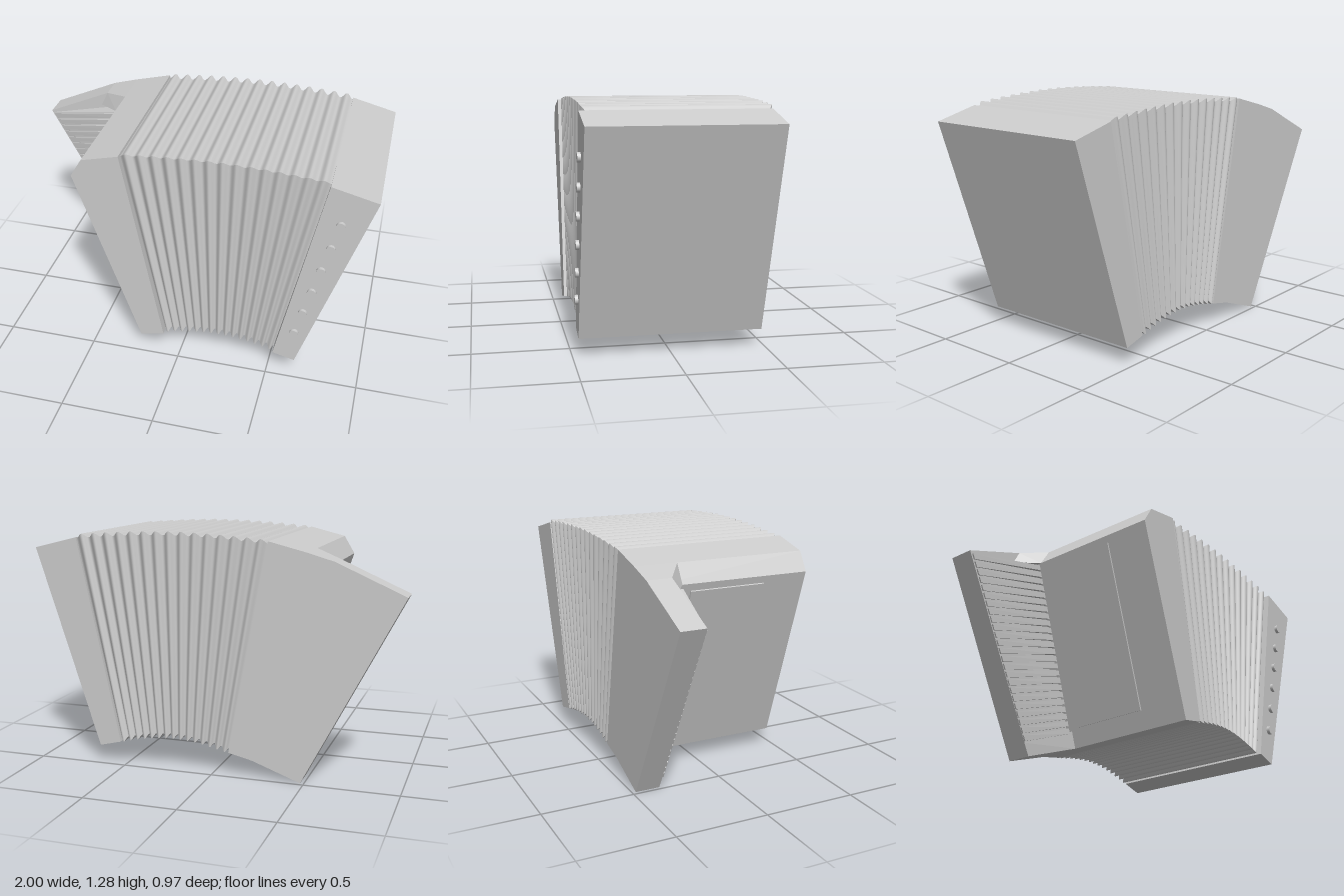
import * as THREE from 'three';
import { ConvexGeometry } from 'three/addons/geometries/ConvexGeometry.js';

const BACK = -0.48, FRONT = 0.47;
const lerp = THREE.MathUtils.lerp;
const mix = (a, b, t) => a.map((v, i) => lerp(v, b[i], t));

export function createModel() {
  const model = new THREE.Group();
  model.name = 'accordion';
  const grey = new THREE.MeshStandardMaterial({ color: 0xcccccc });
  grey.name = 'light grey';

  function add(name, geometry, parent = model) {
    const mesh = new THREE.Mesh(geometry, grey);
    mesh.name = name;
    parent.add(mesh);
    return mesh;
  }
  // Front outline given depth from z0 to z1
  function slab(points, z0, z1) {
    const shape = new THREE.Shape(points.map(p => new THREE.Vector2(...p)));
    const g = new THREE.ExtrudeGeometry(shape, { depth: z1 - z0, bevelEnabled: false });
    return g.translate(0, 0, z0);
  }
  const hull = points => new ConvexGeometry(points.map(p => new THREE.Vector3(...p)));

  // Two end boxes
  add('trebleBox', slab([[-0.3, 1.25], [-0.5, 1.2], [-0.56, 1.1], [-0.22, 0.1], [-0.09, 0.13]], BACK, FRONT));
  add('bassBox', slab([[0.76, 1.24], [0.53, 0.13], [0.65, 0.1], [1, 1.18]], BACK, FRONT));

  // Bass buttons
  const buttons = new THREE.Group();
  buttons.name = 'bassButtons';
  model.add(buttons);
  for (let i = 0; i < 6; i++) {
    const b = add('bassButton', new THREE.CylinderGeometry(0.024, 0.024, 0.03, 20), buttons);
    b.rotation.x = Math.PI / 2;
    b.position.set(lerp(0.827, 0.639, i / 5), lerp(1.027, 0.3, i / 5), 0.472);
  }

  // Bellows: four rippled sides fanned between the boxes
  const FOLDS = 15, STEPS = FOLDS * 10;
  function ring(t) {
    const wave = 0.5 - 0.5 * Math.cos(t * FOLDS * Math.PI * 2);
    const arch = Math.sin(Math.PI * t);
    const xt = lerp(-0.3, 0.76, t), xb = lerp(-0.09, 0.53, t);
    const yt = 1.235 + 0.028 * arch + 0.022 * wave;
    const yb = 0.15 + 0.05 * arch - 0.022 * wave;
    const zf = 0.435 + 0.02 * wave, zb = -0.465 - 0.02 * wave;
    return [[xt, yt, zf], [xt, yt, zb], [xb, yb, zb], [xb, yb, zf]];
  }
  const bellows = new THREE.Group();
  bellows.name = 'bellows';
  model.add(bellows);
  ['bellowsTop', 'bellowsBack', 'bellowsBottom', 'bellowsFront'].forEach((name, side) => {
    const pos = [], index = [];
    for (let i = 0; i <= STEPS; i++) {
      const r = ring(i / STEPS);
      pos.push(...r[side], ...r[(side + 1) % 4]);
      if (i < STEPS) {
        const a = i * 2;
        index.push(a, a + 2, a + 1, a + 2, a + 3, a + 1);
      }
    }
    const g = new THREE.BufferGeometry();
    g.setAttribute('position', new THREE.Float32BufferAttribute(pos, 3));
    g.setIndex(index);
    g.computeVertexNormals();
    add(name, g, bellows);
  });

  // Keyboard: back plate, sloping bed, and a cheek at each end
  const keyboard = new THREE.Group();
  keyboard.name = 'keyboard';
  model.add(keyboard);
  const LOW = -0.345, HIGH = -0.25;
  add('keyboardPlate', slab([[-1, 1], [-0.48, 0.005], [-0.22, 0.1], [-0.56, 1.1], [-0.5, 1.2], [-0.64, 1.16]], BACK, LOW), keyboard);
  add('upperCheek', hull([
    [-0.64, 1.16, LOW], [-0.5, 1.2, LOW], [-0.5, 1.2, HIGH],
    [-0.56, 1.1, HIGH], [-0.56, 1.1, LOW], [-0.68, 1.08, LOW],
  ]), keyboard);
  add('lowerCheek', hull([
    [-0.48, 0.005, LOW], [-0.22, 0.1, LOW], [-0.22, 0.1, HIGH],
    [-0.25, 0.19, HIGH], [-0.25, 0.19, LOW], [-0.515, 0.07, LOW],
  ]), keyboard);
  const outerTop = [-0.985, 0.99], outerEnd = [-0.513, 0.07];
  const innerTop = [-0.57, 1.085], innerEnd = [-0.265, 0.165];
  add('keyBed', hull([
    [...outerTop, LOW], [...outerEnd, LOW], [...innerTop, LOW], [...innerEnd, LOW],
    [...innerTop, HIGH - 0.018], [...innerEnd, HIGH - 0.018],
  ]), keyboard);

  // Keys: narrow sloping bars with gaps between
  const KEYS = 24;
  for (let i = 0; i < KEYS; i++) {
    const corners = [];
    for (const t of [(i + 0.1) / KEYS, (i + 0.82) / KEYS]) {
      const o = mix(outerTop, outerEnd, t), n = mix(innerTop, innerEnd, t);
      corners.push([...o, LOW - 0.005], [...o, LOW + 0.008], [...n, LOW - 0.005], [...n, HIGH]);
    }
    add('key', hull(corners), keyboard);
  }

  // Thin panel on the slanted face beside the keys
  const panel = [];
  for (const [x, y] of [[-0.547, 1.062], [-0.254, 0.2]])
    for (const z of [-0.2, 0.22])
      for (const d of [-0.004, 0.009]) panel.push([x - 0.947 * d, y - 0.322 * d, z]);
  add('sidePanel', hull(panel));

  return model;
}
